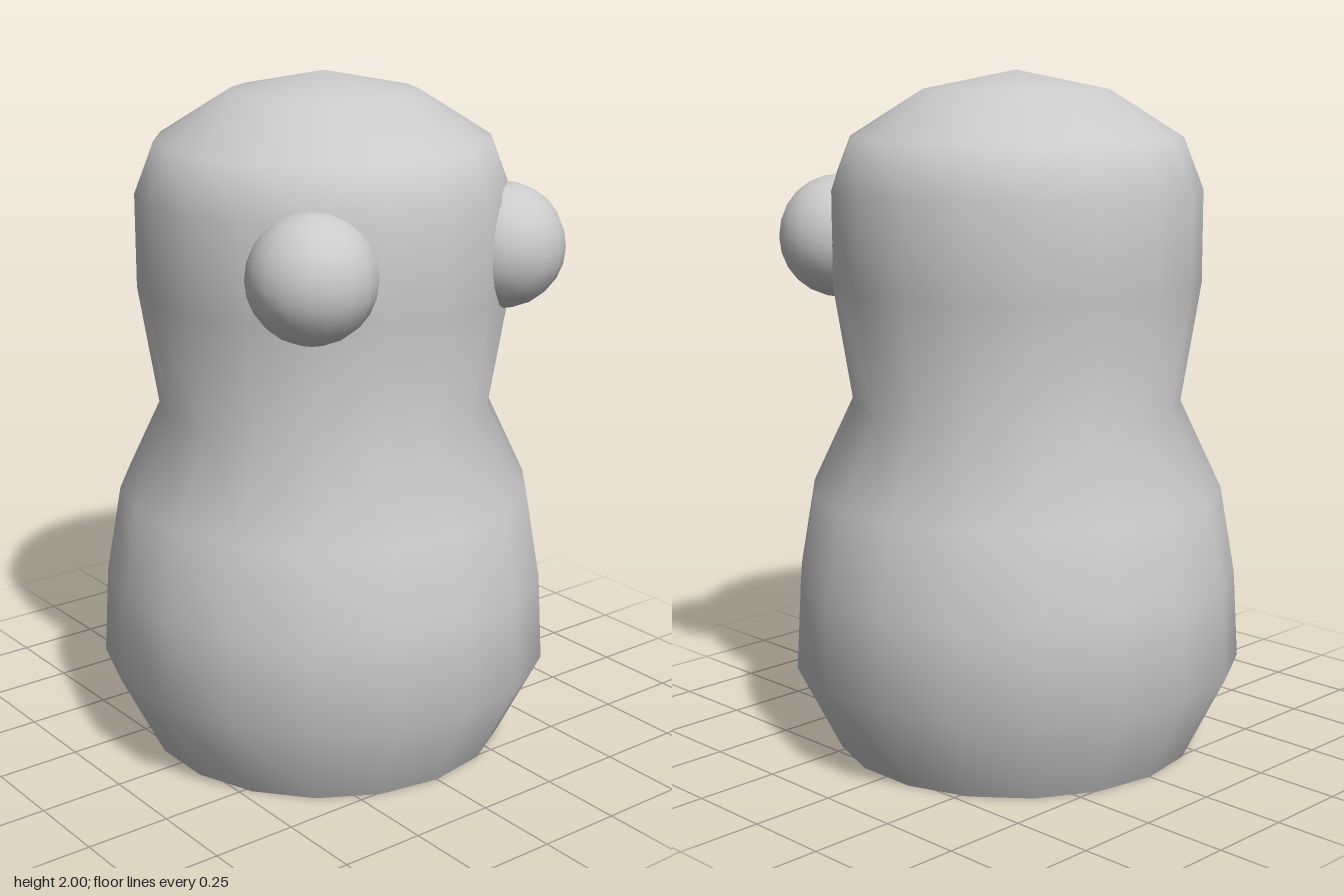
import * as THREE from 'three';

const SIDES = 18;

// Radius and height, from the foot up to the crown
const PROFILE = [
  [0.54, 0], [0.67, 0.26], [0.655, 0.52], [0.61, 0.78], [0.487, 1.04],
  [0.543, 1.39], [0.543, 1.66], [0.485, 1.81], [0.27, 1.945], [0, 2],
];

export function createModel() {
  const group = new THREE.Group();
  const material = new THREE.MeshStandardMaterial({ color: 0xcccccc });

  const add = (name, geometry) => {
    const mesh = new THREE.Mesh(geometry, material);
    mesh.name = name;
    group.add(mesh);
    return mesh;
  };

  // Body and head in one turned, smooth-shaded form with a corner on +x
  const points = PROFILE.map(([r, y]) => new THREE.Vector2(r, y));
  const bodyGeometry = new THREE.LatheGeometry(points, SIDES, Math.PI / 2);
  const { position, normal } = bodyGeometry.attributes;
  for (let i = 0; i < position.count; i++) {
    if (position.getY(i) === 2) normal.setXYZ(i, 0, 1, 0);
  }
  add('body', bodyGeometry);

  // Flat underside
  add('base', new THREE.CircleGeometry(PROFILE[0][0], SIDES).rotateX(Math.PI / 2));

  // Round eyes, mirrored across z on the +x side of the head
  for (const side of [1, -1]) {
    const eye = add(side > 0 ? 'frontEye' : 'backEye', new THREE.SphereGeometry(0.18, 18, 12));
    eye.position.set(0.39, 1.52, 0.34 * side);
  }

  return group;
}
